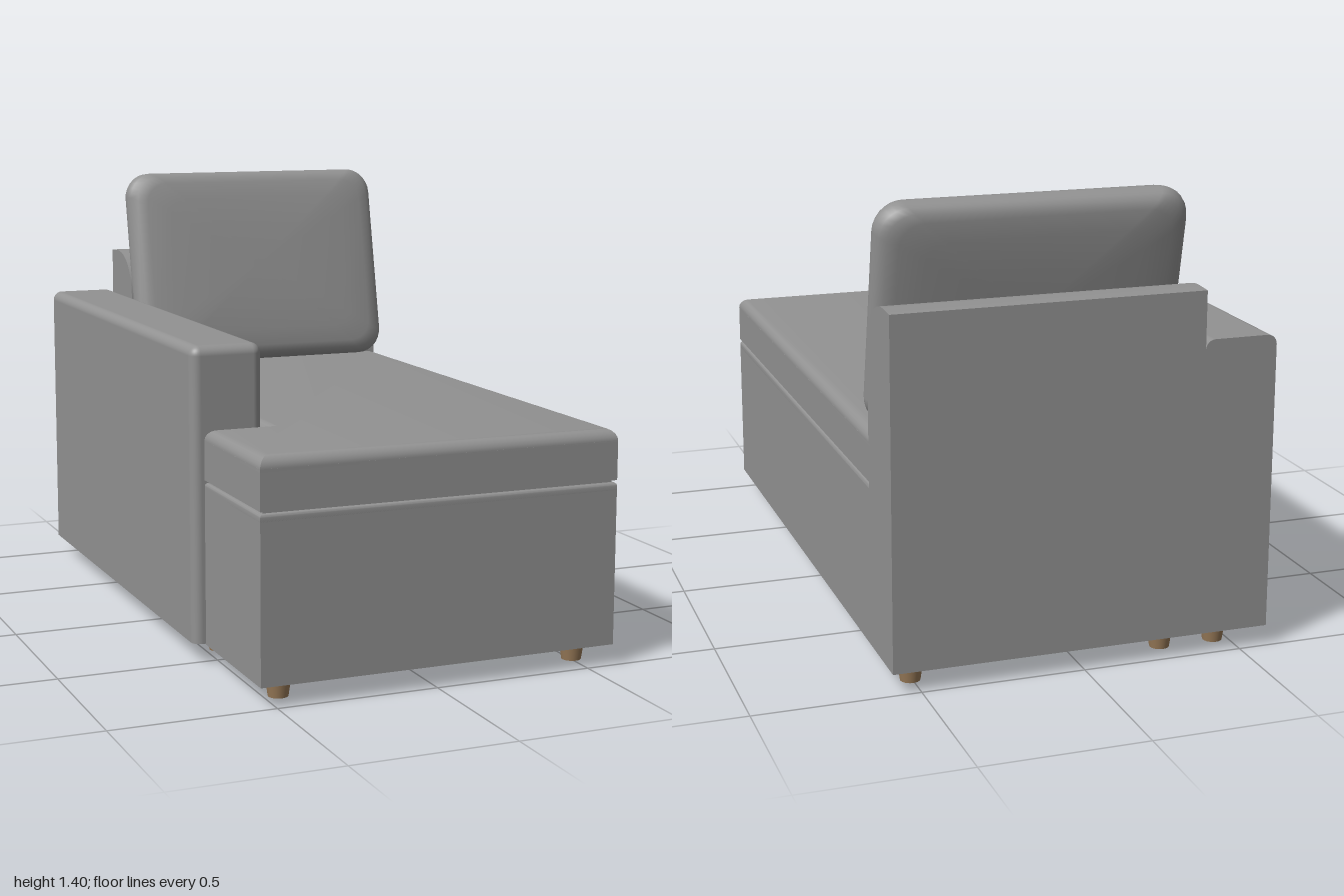
import * as THREE from 'three';
import { toCreasedNormals } from 'three/addons/utils/BufferGeometryUtils.js';

const fabric = new THREE.MeshStandardMaterial({ color: 0x929292 });
fabric.name = 'greyFabric';
const wood = new THREE.MeshStandardMaterial({ color: 0x987a58 });
wood.name = 'wood';

function add(group, name, geometry, material = fabric) {
  const mesh = new THREE.Mesh(geometry, material);
  mesh.name = name;
  group.add(mesh);
  return mesh;
}

// L-shaped slab that leaves room for the arm; optionally rounded over by r
function slab(y0, y1, r = 0, inset = 0) {
  const outline = [
    [-0.55 + inset, 1 - inset], [0.585 - inset, 1 - inset], [0.585 - inset, -0.78],
    [-0.355 + inset, -0.78], [-0.355 + inset, 0.54 + inset], [-0.55 + inset, 0.54 + inset],
  ].map(([x, z]) => new THREE.Vector2(x, -z));
  const g = new THREE.ExtrudeGeometry(new THREE.Shape(outline), {
    depth: y1 - y0 - 2 * r, bevelEnabled: r > 0, bevelThickness: r,
    bevelSize: r, bevelOffset: -r, bevelSegments: 5,
  });
  g.rotateX(-Math.PI / 2).translate(0, y0 + r, 0);
  return toCreasedNormals(g, 0.6);
}

// Box whose left, right, top and front edges are rounded; back and bottom stay sharp
function softBox(min, max, r) {
  const n = 10, half = n / 2;
  const g = new THREE.BoxGeometry(2, 2, 2, n, n, n);
  const p = g.attributes.position, normal = g.attributes.normal;
  const lo = new THREE.Vector3(min.x + r, min.y, min.z);
  const hi = new THREE.Vector3(max.x - r, max.y - r, max.z - r);
  const v = new THREE.Vector3(), core = new THREE.Vector3(), d = new THREE.Vector3();
  const place = (t, a, b) => {
    const k = Math.round((t + 1) * half);
    return k < half ? a + r * k / (half - 1) : b - r * (n - k) / half;
  };
  for (let i = 0; i < p.count; i++) {
    v.set(place(p.getX(i), min.x, max.x), place(p.getY(i), min.y, max.y), place(p.getZ(i), min.z, max.z));
    core.copy(v).clamp(lo, hi);
    d.subVectors(v, core);
    const reach = Math.max(Math.abs(d.x), Math.abs(d.y), Math.abs(d.z));
    d.normalize();
    if (normal.getY(i) > -0.5 && normal.getZ(i) > -0.5) normal.setXYZ(i, d.x, d.y, d.z);
    v.copy(core).addScaledVector(d, reach);
    p.setXYZ(i, v.x, v.y, v.z);
  }
  return g;
}

// Puffed cushion: rounded-rectangle rings lofted from front to back
function pillow(halfW, halfH, corner) {
  const outline = [];
  for (let c = 0; c < 4; c++) {
    const sx = c === 0 || c === 3 ? 1 : -1, sy = c < 2 ? 1 : -1;
    for (let k = 0; k <= 7; k++) {
      const a = (c + k / 7) * Math.PI / 2;
      outline.push([sx * (halfW - corner) + corner * Math.cos(a), sy * (halfH - corner) + corner * Math.sin(a)]);
    }
  }
  const front = [[0, 0.073], [0.4, 0.071], [0.7, 0.066], [0.87, 0.058], [0.94, 0.049], [0.98, 0.033], [0.995, 0.015]];
  const rings = [...front, [1, 0], ...front.map(([s, d]) => [s, -d]).reverse()];
  const pos = [], index = [], n = outline.length;
  rings.forEach(([s, d], i) => {
    outline.forEach(([x, y], j) => {
      pos.push(x * s, y * s, d);
      if (i === rings.length - 1) return;
      const a = i * n + j, b = i * n + (j + 1) % n;
      if (i < rings.length - 2) index.push(a, a + n, b + n);
      else index.push(a, a + n, b);
      if (i > 0 && i < rings.length - 2) index.push(a, b + n, b);
    });
  });
  const g = new THREE.BufferGeometry();
  g.setAttribute('position', new THREE.Float32BufferAttribute(pos, 3));
  g.setIndex(index);
  g.computeVertexNormals();
  // Flat normals at both centres, where the rings shrink to a point
  for (let j = 0; j < n; j++) {
    g.attributes.normal.setXYZ(j, 0, 0, 1);
    g.attributes.normal.setXYZ((rings.length - 1) * n + j, 0, 0, -1);
  }
  return g;
}

export function createModel() {
  const model = new THREE.Group();
  model.name = 'chaiseSofa';

  // Base, recessed seam and seat cushion
  add(model, 'base', slab(0.065, 0.55));
  add(model, 'baseTopEdge', slab(0.53, 0.563, 0.01));
  add(model, 'seatSeam', slab(0.55, 0.58, 0, 0.012));
  add(model, 'seatCushion', slab(0.57, 0.69));
  add(model, 'seatCushionTop', slab(0.645, 0.725, 0.036));

  // Right arm
  add(model, 'arm', softBox(new THREE.Vector3(-0.585, 0.065, -1), new THREE.Vector3(-0.36, 0.97, 0.53), 0.03));

  // Backrest: side profile with a soft front top edge, run across the width
  const side = new THREE.Shape();
  side.moveTo(1, 0.065);
  side.lineTo(1, 1.116);
  side.lineTo(0.93, 1.12);
  side.bezierCurveTo(0.87, 1.118, 0.775, 1.09, 0.77, 0.96);
  side.lineTo(0.77, 0.065);
  const back = new THREE.ExtrudeGeometry(side, { depth: 0.945, bevelEnabled: false, curveSegments: 10 });
  back.rotateY(Math.PI / 2).translate(-0.36, 0, 0);
  add(model, 'backrest', toCreasedNormals(back, 0.6));

  // Leaning back cushion
  const cushion = add(model, 'backCushion', pillow(0.47, 0.342, 0.085));
  cushion.position.set(0.115, 1.062, -0.785);
  cushion.rotation.x = -0.21;

  // Tapered legs
  const legs = [[0.505, 0.89], [-0.455, 0.89], [-0.455, 0.39], [0.505, -0.9], [-0.28, -0.9], [-0.455, -0.9]];
  for (const [x, z] of legs) {
    add(model, 'leg', new THREE.CylinderGeometry(0.04, 0.03, 0.066, 20), wood).position.set(x, 0.033, z);
  }
  return model;
}
